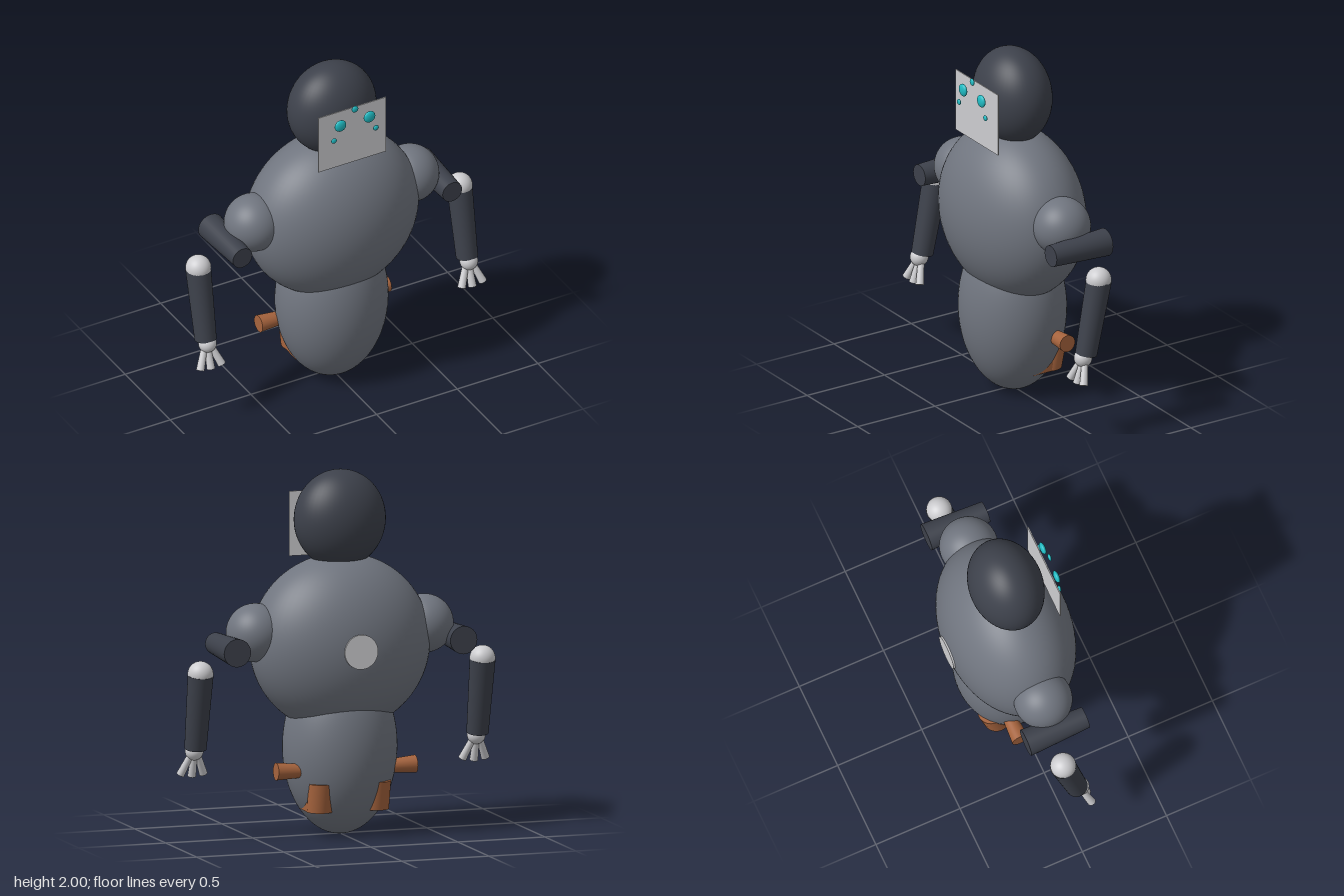
import * as THREE from 'three';

export function createModel() {
  const model = new THREE.Group();
  model.name = 'robot';

  const material = (name, color) => {
    const m = new THREE.MeshStandardMaterial({ color });
    m.name = name;
    return m;
  };
  const grey = material('body grey', 0x70757f);
  const dark = material('charcoal', 0x3d414b);
  const light = material('light grey', 0xcdcdd0);
  const cyan = material('cyan', 0x20bcc4);
  const rust = material('rust brown', 0xa5633d);

  const add = (name, geometry, mat, x = 0, y = 0, z = 0, parent = model) => {
    const mesh = new THREE.Mesh(geometry, mat);
    mesh.name = name;
    mesh.position.set(x, y, z);
    parent.add(mesh);
    return mesh;
  };
  const ellipsoid = (rx, ry, rz, seg = 48) =>
    new THREE.SphereGeometry(1, seg, seg * 0.75).scale(rx, ry, rz);

  // Tapered cylinder from point a (radius ra) to point b (radius rb)
  const limb = (name, a, b, ra, rb, mat, parent) => {
    const from = new THREE.Vector3(...a), to = new THREE.Vector3(...b);
    const dir = to.clone().sub(from);
    const mid = from.clone().add(to).multiplyScalar(0.5);
    const mesh = add(name, new THREE.CylinderGeometry(rb, ra, dir.length(), 32), mat, mid.x, mid.y, mid.z, parent);
    mesh.quaternion.setFromUnitVectors(new THREE.Vector3(0, 1, 0), dir.normalize());
    return mesh;
  };

  // Body
  add('lowerBody', ellipsoid(0.315, 0.48, 0.287, 64), grey, 0, 0.485, 0);
  add('torso', ellipsoid(0.505, 0.488, 0.35, 64), grey, 0, 1.052, 0);
  add('head', ellipsoid(0.255, 0.27, 0.2), dark, 0, 1.73, 0);

  // Round plate on the back
  add('backPlate', new THREE.CylinderGeometry(0.095, 0.095, 0.04, 48).rotateX(Math.PI / 2),
    light, 0, 1.05, -0.333);

  // Face plate and its lights
  add('facePlate', new THREE.BoxGeometry(0.42, 0.355, 0.006), light, 0, 1.678, 0.228);
  add('foreheadLight', ellipsoid(0.02, 0.02, 0.009, 24), cyan, 0, 1.863, 0.26);

  for (const s of [-1, 1]) {
    const side = new THREE.Group();
    side.name = s > 0 ? 'leftSide' : 'rightSide';
    model.add(side);

    add('eye', ellipsoid(0.035, 0.035, 0.015, 24), cyan, s * 0.09, 1.783, 0.26, side);
    add('cheekLight', ellipsoid(0.017, 0.016, 0.008, 24), cyan, s * 0.13, 1.698, 0.26, side);

    // Arm
    add('shoulder', ellipsoid(0.16, 0.16, 0.16), grey, s * 0.485, 1.13, 0, side);
    limb('upperArm', [s * 0.65, 1.053, -0.177], [s * 0.65, 1.053, 0.177], 0.077, 0.06, dark, side);
    add('elbow', ellipsoid(0.07, 0.07, 0.07), light, s * 0.81, 0.925, -0.028, side);
    limb('forearm', [s * 0.81, 0.92, -0.03], [s * 0.81, 0.505, 0.053], 0.07, 0.06, dark, side);
    add('wrist', ellipsoid(0.05, 0.05, 0.05, 32), light, s * 0.81, 0.487, 0.073, side);
    for (const f of [-1, 0, 1]) {
      limb('finger', [s * 0.81 + f * 0.025, 0.455, 0.078],
        [s * 0.81 + f * 0.066, f ? 0.355 : 0.345, 0.112], 0.018, 0.023, light, side);
    }

    // Stub, leaning leg and flat foot
    limb('hipStub', [s * 0.25, 0.374, -0.095], [s * 0.4, 0.378, -0.095], 0.037, 0.048, rust, side);
    const lean = new THREE.Matrix4().set(1, 0, 0, 0, 0, 1, 0, 0, 0, -0.21, 1, 0, 0, 0, 0, 1);
    add('leg', new THREE.CylinderGeometry(0.072, 0.072, 0.16, 32).applyMatrix4(lean),
      rust, s * 0.16, 0.23, -0.146, side);
    add('foot', new THREE.BoxGeometry(0.137, 0.05, 0.16), rust, s * 0.159, 0.175, -0.07, side);
  }
  return model;
}
